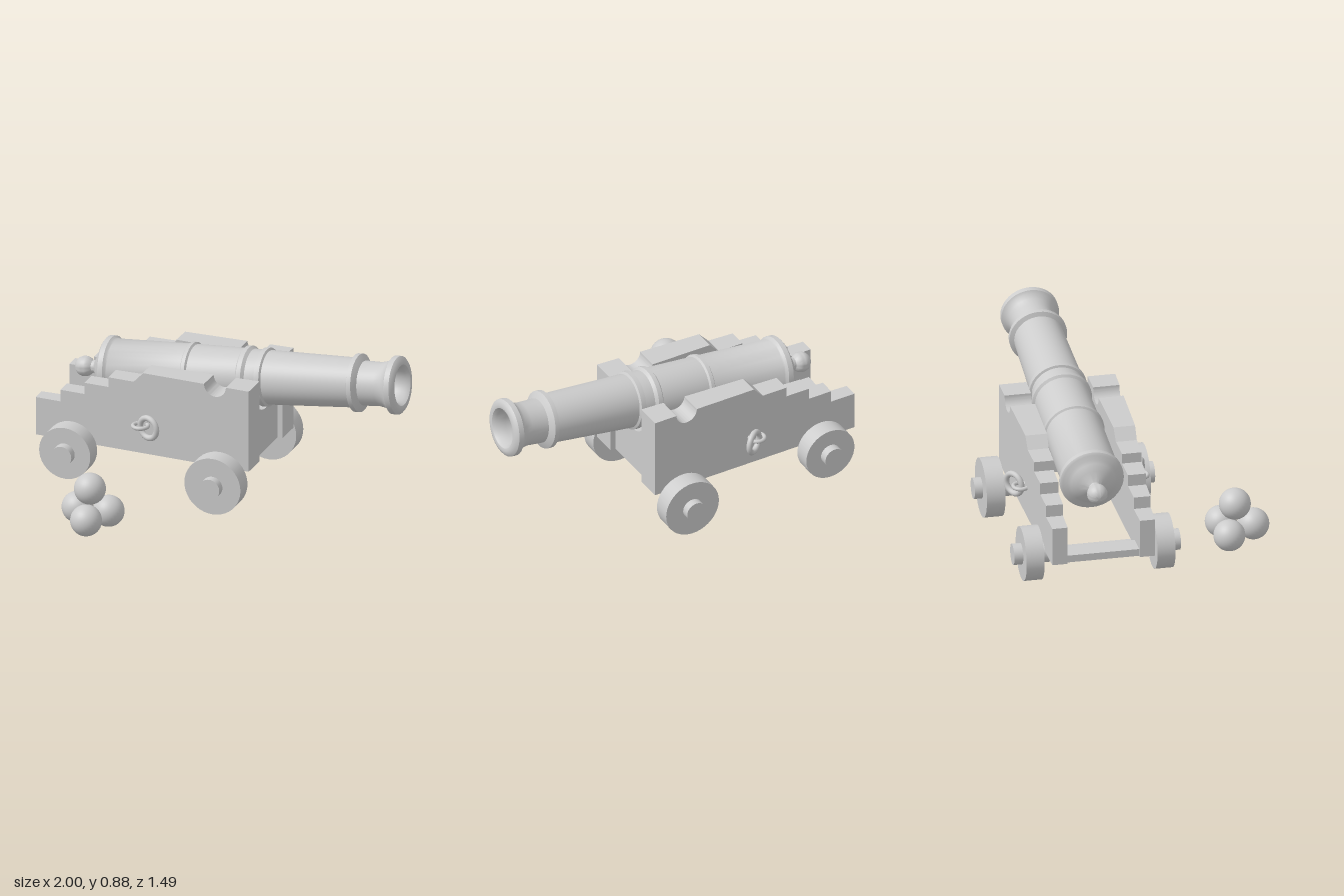
import * as THREE from 'three';
import { toCreasedNormals } from 'three/addons/utils/BufferGeometryUtils.js';

const MID = -0.26; // z of the gun's centre plane
const material = new THREE.MeshStandardMaterial({ color: 0xcccccc });

function part(parent, name, geometry, x = 0, y = 0, z = 0) {
  const mesh = new THREE.Mesh(geometry, material);
  mesh.name = name;
  mesh.position.set(x, y, z);
  parent.add(mesh);
  return mesh;
}

// Turned barrel: [radius, distance from the ball at the breech]
function barrelGeometry() {
  const ball = [];
  for (let i = 0; i <= 10; i++) {
    const a = -Math.PI / 2 + (i / 10) * 2.5;
    ball.push([Math.max(0, 0.055 * Math.cos(a)), 0.055 * Math.sin(a)]);
  }
  const profile = [
    ...ball, [0.035, 0.06], [0.055, 0.075], [0.085, 0.09], [0.12, 0.11], [0.135, 0.125],
    [0.16, 0.13], [0.172, 0.14], [0.172, 0.168], [0.16, 0.18], [0.157, 0.185],
    [0.154, 0.605], [0.164, 0.612], [0.164, 0.632], [0.153, 0.64],
    [0.149, 0.92], [0.162, 0.93], [0.162, 0.955], [0.147, 0.97],
    [0.145, 1.025], [0.157, 1.03], [0.157, 1.058], [0.145, 1.065],
    [0.133, 1.55], [0.156, 1.56], [0.156, 1.585], [0.14, 1.595], [0.12, 1.605],
    [0.117, 1.7], [0.125, 1.74], [0.14, 1.765], [0.156, 1.775], [0.156, 1.805],
    [0.145, 1.815], [0.125, 1.823], [0.11, 1.82], [0.095, 1.8], [0.09, 1.75], [0.09, 1.1], [0, 1.1],
  ].map(([r, s]) => new THREE.Vector2(r, s));
  return toCreasedNormals(new THREE.LatheGeometry(profile, 40), 0.6);
}

// Stepped side plank, thicker toward the muzzle, with a round notch on top
function cheekGeometry(side) {
  const s = new THREE.Shape();
  s.moveTo(-1, 0.235);
  s.lineTo(0.23, 0.235);
  s.lineTo(0.23, 0.697);
  s.lineTo(0.098, 0.697);
  s.absarc(0.035, 0.697, 0.063, 0, Math.PI, true);
  for (const [x, y] of [[-0.38, 0.697], [-0.435, 0.638], [-0.58, 0.638], [-0.58, 0.582],
    [-0.72, 0.582], [-0.72, 0.517], [-0.857, 0.517], [-0.857, 0.45], [-1, 0.45]]) s.lineTo(x, y);
  s.closePath();
  const g = new THREE.ExtrudeGeometry(s, { depth: 1, bevelEnabled: false, curveSegments: 16 });
  const p = g.attributes.position;
  for (let i = 0; i < p.count; i++) {
    const t = (p.getX(i) + 1) / 1.23;
    const inner = THREE.MathUtils.lerp(0.195, 0.165, t);
    const outer = THREE.MathUtils.lerp(0.278, 0.314, t);
    const w = side > 0 ? p.getZ(i) : 1 - p.getZ(i);
    p.setZ(i, side * (inner + (outer - inner) * w));
  }
  return toCreasedNormals(g, 0.5);
}

// Cross board under the barrel, hollowed to cradle it
function transomGeometry() {
  const s = new THREE.Shape();
  s.moveTo(-0.17, 0.235);
  s.lineTo(0.17, 0.235);
  s.lineTo(0.17, 0.515);
  s.lineTo(0.11, 0.515);
  s.quadraticCurveTo(0, 0.43, -0.11, 0.515);
  s.lineTo(-0.17, 0.515);
  s.closePath();
  const g = new THREE.ExtrudeGeometry(s, { depth: 0.14, bevelEnabled: false });
  g.rotateY(Math.PI / 2);
  return g;
}

// Cylinder lying along z between two distances from the centre plane
function roller(parent, name, r, x, y, side, from, to) {
  const g = new THREE.CylinderGeometry(r, r, to - from, 40);
  g.rotateX(Math.PI / 2);
  part(parent, name, g, x, y, side * (from + to) / 2);
}

export function createModel() {
  const model = new THREE.Group();
  model.name = 'cannon';

  const gun = new THREE.Group();
  gun.name = 'gun';
  gun.position.z = MID;
  model.add(gun);

  const barrel = part(gun, 'barrel', barrelGeometry(), -0.83, 0.545, 0);
  barrel.rotation.z = -(Math.PI / 2 - 0.102);

  // Carriage
  part(gun, 'transom', transomGeometry(), 0.06, 0, 0);
  part(gun, 'rearCrossPlank', new THREE.BoxGeometry(0.11, 0.04, 0.39), -0.933, 0.257, 0);
  roller(gun, 'rearRod', 0.015, -0.785, 0.22, 1, -0.26, 0.26);

  for (const side of [1, -1]) {
    part(gun, 'cheek', cheekGeometry(side));

    // Wheels on short axle stubs
    roller(gun, 'frontWheel', 0.16, 0.075, 0.176, side, 0.343, 0.443);
    roller(gun, 'frontAxle', 0.057, 0.075, 0.176, side, 0.275, 0.487);
    roller(gun, 'rearWheel', 0.146, -0.785, 0.21, side, 0.305, 0.402);
    roller(gun, 'rearAxle', 0.057, -0.785, 0.21, side, 0.242, 0.45);

    // Eye fixed in the cheek with a loose ring through it
    const eye = part(gun, 'eye', new THREE.TorusGeometry(0.04, 0.011, 10, 28), -0.385, 0.403, side * 0.322);
    eye.rotation.x = Math.PI / 2;
    const ring = part(gun, 'ring', new THREE.TorusGeometry(0.056, 0.016, 12, 36),
      side > 0 ? -0.335 : -0.35, 0.403, side > 0 ? 0.335 : -0.352);
    ring.rotation.y = side > 0 ? -0.32 : 0.6;
  }

  // Stack of shot
  const balls = new THREE.Group();
  balls.name = 'cannonballs';
  model.add(balls);
  for (const [x, y, z] of [[-0.563, 0.088, 0.508], [-0.39, 0.088, 0.497], [-0.453, 0.088, 0.66], [-0.473, 0.226, 0.556]])
    part(balls, 'ball', new THREE.SphereGeometry(0.085, 32, 20), x, y, z);

  return model;
}
